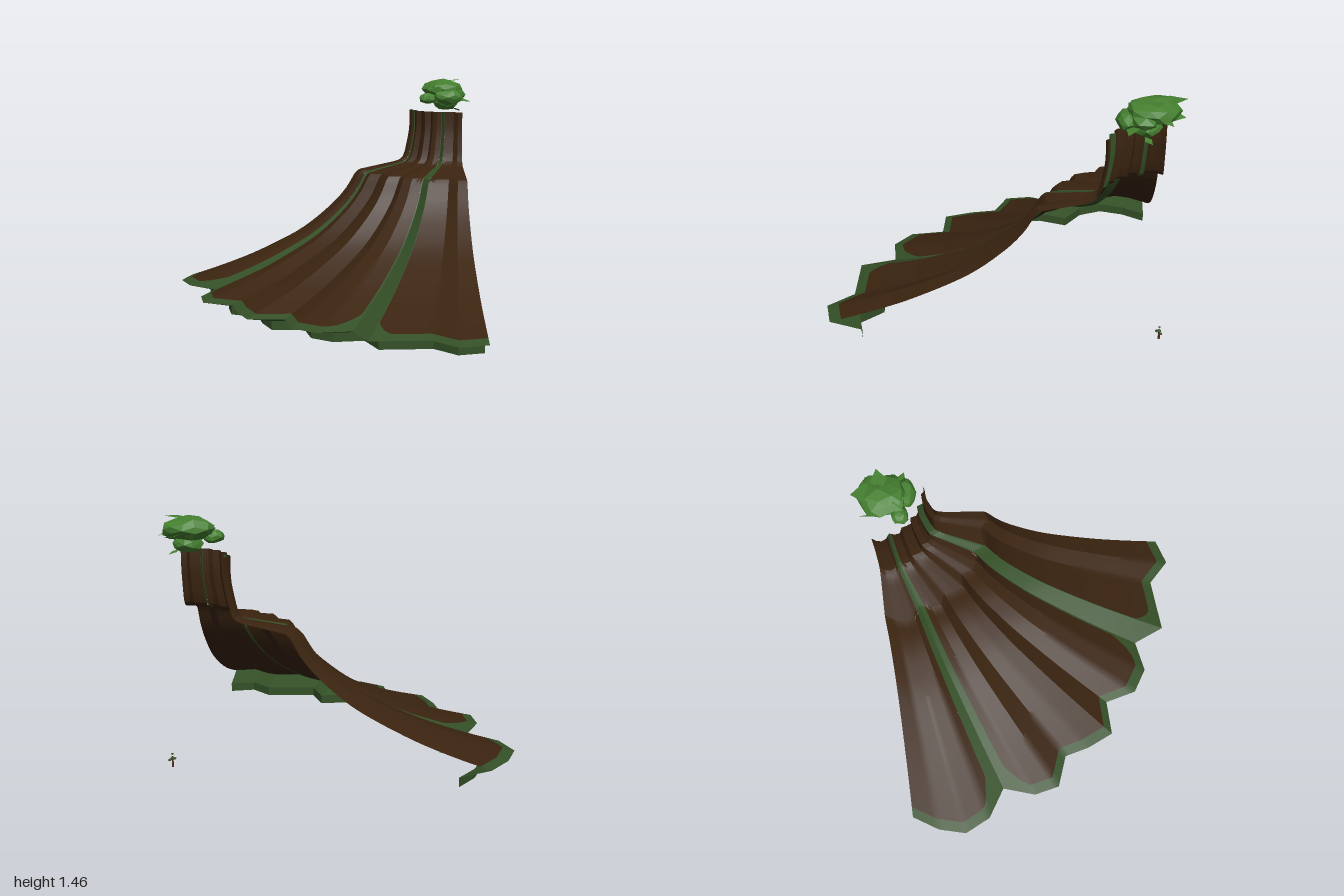
import * as THREE from 'three';
import { toCreasedNormals } from 'three/addons/utils/BufferGeometryUtils.js';

const DEG = Math.PI / 180;
const CX = 0.91, CZ = -0.92; // axis of the quarter mountain

// Scalloped rim as [x, z]; the whole slope scales this outline toward the axis
const RIM = [
  [-0.84, -0.92], [-0.94, -0.76], [-0.985, -0.59], [-0.905, -0.43], [-0.725, -0.32], [-0.79, -0.12],
  [-0.755, 0.04], [-0.56, 0.11], [-0.52, 0.27], [-0.445, 0.435], [-0.225, 0.43], [-0.175, 0.63],
  [-0.03, 0.72], [0.17, 0.685], [0.255, 0.885], [0.6, 0.86], [0.74, 0.995], [0.91, 0.945],
].map(([x, z]) => ({ x: CX - x, z: z - CZ, a: Math.atan2(z - CZ, CX - x) / DEG }));

// Slope profile as (radius, height), top to rim
const R = 1.92;
const PROFILE = new THREE.SplineCurve([
  [0.34, 1.25], [0.34, 1.13], [0.358, 1.02], [0.38, 0.935], [0.42, 0.9], [0.55, 0.87], [0.68, 0.842],
  [0.715, 0.825], [0.79, 0.705], [0.91, 0.58], [1.11, 0.43], [1.41, 0.28], [1.66, 0.183], [R, 0.1],
].map(([r, y]) => new THREE.Vector2(r, y)));
PROFILE.arcLengthDivisions = 600;

// Point on the straight-sided rim outline at an angle in degrees
function rimAt(deg) {
  let i = 0;
  while (i < RIM.length - 2 && RIM[i + 1].a < deg) i++;
  const p = RIM[i], q = RIM[i + 1], c = Math.cos(deg * DEG), s = Math.sin(deg * DEG);
  const dx = q.x - p.x, dz = q.z - p.z;
  const r = (p.x * dz - p.z * dx) / (c * dz - s * dx);
  return [r * c, r * s];
}

function place(deg, scale, y) {
  const [x, z] = rimAt(deg);
  return [CX - x * scale, y, CZ + z * scale];
}

function slopePoint(deg, t) {
  const p = PROFILE.getPointAt(Math.min(1, Math.max(0, t)));
  return place(deg, p.x / R, p.y);
}

// Angles between two bounds, always including the scallop corners
function columns(from, to) {
  const set = [from, to, ...RIM.map((p) => p.a).filter((a) => a > from + 0.05 && a < to - 0.05)];
  for (let a = Math.ceil(from); a < to; a += 1) {
    if (set.every((b) => Math.abs(a - b) > 0.3)) set.push(a);
  }
  return set.sort((a, b) => a - b);
}

// Grid surface: fn(angle, v) with v from 0 (top) to 1 (bottom)
function sheet(cols, rows, fn, crease = 0.4) {
  const pos = [], index = [], n = rows + 1;
  cols.forEach((a) => { for (let j = 0; j <= rows; j++) pos.push(...fn(a, j / rows)); });
  for (let i = 0; i < cols.length - 1; i++) {
    for (let j = 0; j < rows; j++) {
      const a = i * n + j, b = a + 1, c = a + n, d = c + 1;
      index.push(a, b, c, b, d, c);
    }
  }
  const g = new THREE.BufferGeometry();
  g.setAttribute('position', new THREE.Float32BufferAttribute(pos, 3));
  g.setIndex(index);
  g.computeVertexNormals();
  return toCreasedNormals(g, crease);
}

// Faceted, slightly irregular clump of foliage
function clump(detail, rough, seed) {
  const g = new THREE.IcosahedronGeometry(1, detail), p = g.attributes.position;
  for (let i = 0; i < p.count; i++) {
    const x = p.getX(i), y = p.getY(i), z = p.getZ(i);
    const k = 1 - rough * (0.5 + 0.5 * Math.sin(x * 7.1 + y * 11.3 + z * 5.7 + seed));
    p.setXYZ(i, x * k, y * k, z * k);
  }
  g.computeVertexNormals();
  return g;
}

// Flat pointed leaf from a base to a tip
function leaf(base, tip, width, up) {
  const b = new THREE.Vector3(...base), t = new THREE.Vector3(...tip);
  const side = t.clone().sub(b).cross(new THREE.Vector3(...up)).normalize().multiplyScalar(width);
  const mid = b.clone().lerp(t, 0.45);
  const l = mid.clone().sub(side), r = mid.clone().add(side);
  const g = new THREE.BufferGeometry().setFromPoints([b, r, t, b, t, l]);
  g.computeVertexNormals();
  return g;
}

export function createModel() {
  const model = new THREE.Group();
  const mat = (name, color) => {
    const m = new THREE.MeshStandardMaterial({ color, side: THREE.DoubleSide });
    m.name = name;
    return m;
  };
  const earth = mat('earth brown', 0x3b2410);
  const moss = mat('moss green', 0x345027);
  const foliage = mat('leaf green', 0x458030);
  const bark = mat('bark red brown', 0x5a2a1a);
  const add = (parent, name, geometry, material) => {
    const m = new THREE.Mesh(geometry, material);
    m.name = name;
    parent.add(m);
    return m;
  };

  // Slope: three earth panels with rounded lower corners, parted by moss streaks
  const slope = new THREE.Group();
  slope.name = 'slope';
  model.add(slope);
  const streaks = [[17.5, 22.3], [64.8, 70.2]];
  const panels = [[0, 17.5], [22.3, 64.8], [70.2, 90]];
  panels.forEach(([from, to]) => {
    const edge = (a) => {
      const d = Math.min(from > 0 ? a - from : 99, to < 90 ? to - a : 99);
      return 0.966 - 0.06 * Math.max(0, 1 - d / 3.5) ** 2;
    };
    const cols = columns(from, to);
    add(slope, 'earthPanel', sheet(cols, 56, (a, v) => slopePoint(a, v * edge(a))), earth);
    add(slope, 'mossBorder', sheet(cols, 4, (a, v) => slopePoint(a, edge(a) + v * (1 - edge(a)))), moss);
  });
  streaks.forEach(([from, to]) => {
    add(slope, 'mossStreak', sheet(columns(from, to), 58, slopePoint), moss);
  });

  // Undercut lip and upright skirt below the rim
  const corners = RIM.map((p) => p.a);
  add(model, 'rimUnderside', sheet(corners, 1, (a, v) => place(a, 1 - 0.1 * v, 0.1 - 0.045 * v), 0.1), moss);
  add(model, 'baseSkirt', sheet(corners, 1, (a, v) => place(a, 0.9, 0.055 * (1 - v)), 0.1), moss);

  // Tree crown floating over the summit: [centre, radii, detail]
  const crown = new THREE.Group();
  crown.name = 'treeCrown';
  model.add(crown);
  [
    [[0.805, 1.395, -0.84], [0.155, 0.07, 0.16], 1],
    [[0.69, 1.335, -0.735], [0.065, 0.042, 0.06], 1],
    [[0.82, 1.345, -0.69], [0.105, 0.055, 0.075], 1],
    [[0.82, 1.305, -0.79], [0.09, 0.055, 0.09], 1],
    [[0.9, 1.36, -0.78], [0.06, 0.05, 0.08], 0],
    [[0.76, 1.39, -0.76], [0.09, 0.055, 0.09], 0],
  ].forEach(([c, r, detail], i) => {
    const m = add(crown, 'foliageClump', clump(detail, 0.2, i * 1.7), foliage);
    m.position.set(...c);
    m.scale.set(...r);
  });
  [
    [[0.85, 1.34, -0.74], [0.98, 1.315, -0.69], 0.04, [0, 1, 0.2]],
    [[0.8, 1.45, -0.82], [0.94, 1.46, -0.84], 0.05, [0, 1, 0]],
    [[0.8, 1.44, -0.84], [0.79, 1.455, -1.0], 0.07, [0, 1, 0]],
    [[0.82, 1.38, -0.86], [0.84, 1.37, -0.99], 0.05, [0.4, 1, 0]],
    [[0.69, 1.36, -0.74], [0.675, 1.4, -0.97], 0.02, [1, 0, 0]],
    [[0.87, 1.27, -0.78], [0.92, 1.245, -0.82], 0.025, [0, 1, 0]],
    [[0.88, 1.4, -0.85], [0.95, 1.36, -0.92], 0.03, [0, 1, 0.3]],
  ].forEach((a) => add(crown, 'looseLeaf', leaf(...a), foliage));

  // Tiny sapling near the axis
  const sapling = new THREE.Group();
  sapling.name = 'sapling';
  sapling.position.set(0.917, 0.07, -0.918);
  model.add(sapling);
  add(sapling, 'saplingTrunk', new THREE.CylinderGeometry(0.004, 0.007, 0.06, 6), bark).position.y = 0.03;
  [[0, 0.05, 0, 0.016], [0.014, 0.042, -0.008, 0.012], [-0.008, 0.045, 0.012, 0.012], [0, 0.075, 0, 0.009]]
    .forEach(([x, y, z, r], i) => {
      const m = add(sapling, 'saplingLeaves', clump(0, 0.2, i), moss);
      m.position.set(x, y, z);
      m.scale.set(r, r * 0.7, r);
    });

  return model;
}
